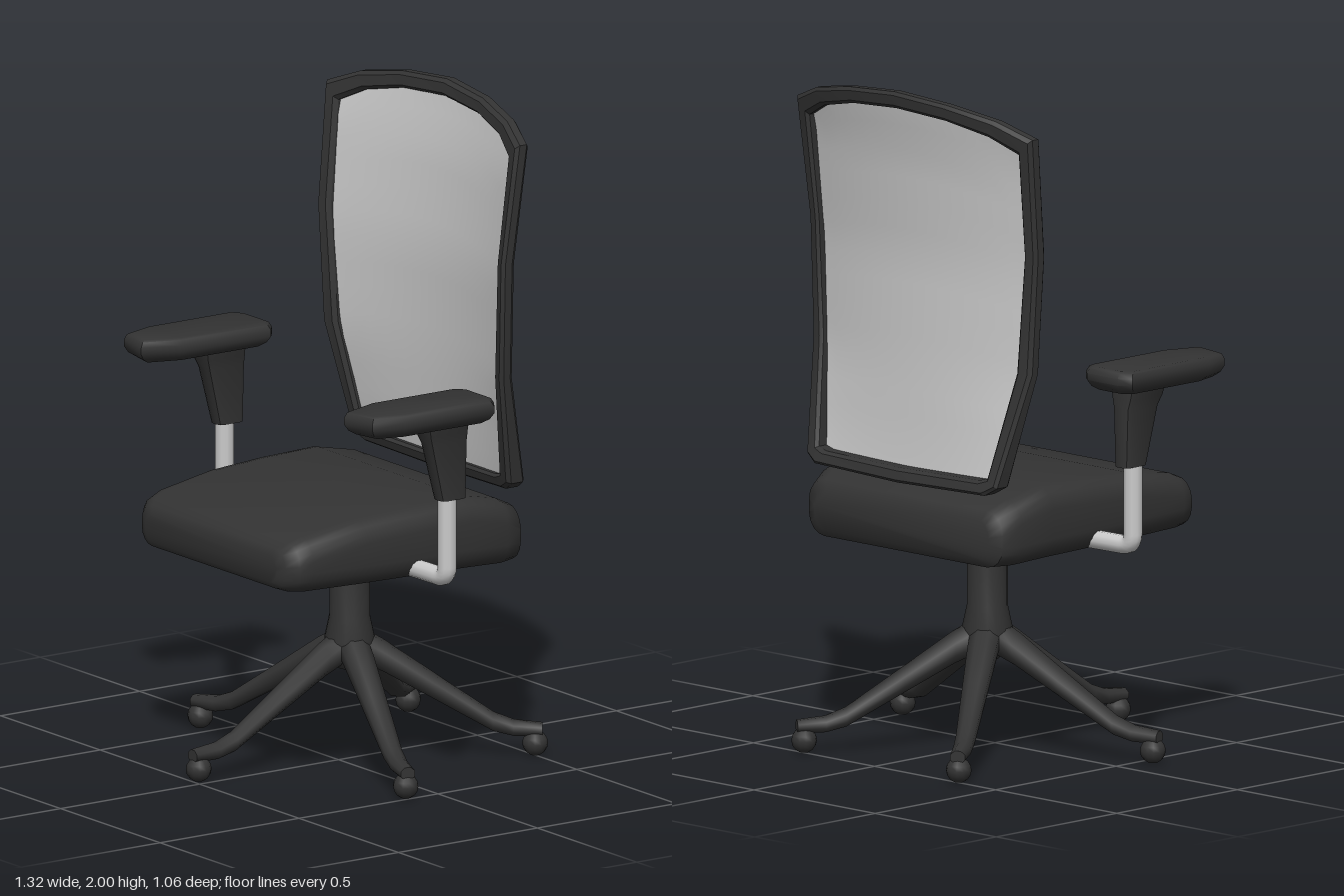
import * as THREE from 'three';
import { toCreasedNormals } from 'three/addons/utils/BufferGeometryUtils.js';

const dark = new THREE.MeshStandardMaterial({ color: 0x333333 });
const grey = new THREE.MeshStandardMaterial({ color: 0xcccccc });
const netting = new THREE.MeshStandardMaterial({ color: 0xcccccc, side: THREE.DoubleSide });

function mesh(name, geometry, material) {
  const m = new THREE.Mesh(geometry, material);
  m.name = name;
  return m;
}

// Linear lookup in a short table of [key, value] pairs
function lookup(table, k) {
  if (k <= table[0][0]) return table[0][1];
  for (let i = 1; i < table.length; i++) {
    const [a, va] = table[i - 1], [b, vb] = table[i];
    if (k <= b) return va + (vb - va) * (k - a) / (b - a);
  }
  return table[table.length - 1][1];
}

// Skin a list of rings (arrays of [x, y, z]); closed joins the last ring to the first
function loft(rings, closed = false, crease = 0.7) {
  const n = rings[0].length, count = rings.length, pos = rings.flat(2), idx = [];
  for (let i = 0; i < (closed ? count : count - 1); i++) {
    for (let j = 0; j < n; j++) {
      const a = i * n + j, b = i * n + (j + 1) % n;
      const c = ((i + 1) % count) * n + j, d = ((i + 1) % count) * n + (j + 1) % n;
      idx.push(a, b, d, a, d, c);
    }
  }
  if (!closed) {
    const e = (count - 1) * n;
    for (let j = 1; j < n - 1; j++) idx.push(0, j + 1, j, e, e + j, e + j + 1);
  }
  // Turn the faces outward if the enclosed volume is negative
  const p = (i) => new THREE.Vector3().fromArray(pos, i * 3);
  let volume = 0;
  for (let i = 0; i < idx.length; i += 3) volume += p(idx[i]).dot(p(idx[i + 1]).cross(p(idx[i + 2])));
  if (volume < 0) idx.reverse();
  const g = new THREE.BufferGeometry();
  g.setAttribute('position', new THREE.Float32BufferAttribute(pos, 3));
  g.setIndex(idx);
  return toCreasedNormals(g, crease);
}

// Rounded rectangle outline as [u, v] pairs
function roundRect(u0, u1, v0, v1, r, steps = 4) {
  const out = [];
  const corners = [[u1 - r, v1 - r], [u0 + r, v1 - r], [u0 + r, v0 + r], [u1 - r, v0 + r]];
  corners.forEach(([u, v], q) => {
    for (let s = 0; s <= steps; s++) {
      const a = (q + s / steps) * Math.PI / 2;
      out.push([u + r * Math.cos(a), v + r * Math.sin(a)]);
    }
  });
  return out;
}

// Seat cushion: sections from front to back [z, half width, top, bottom]
function makeSeat() {
  const sections = [
    [0.46, 0.33, 0.745, 0.665], [0.45, 0.36, 0.768, 0.648], [0.42, 0.395, 0.785, 0.638],
    [0.38, 0.405, 0.8, 0.635], [0.19, 0.415, 0.83, 0.632], [0, 0.422, 0.84, 0.63],
    [-0.18, 0.422, 0.845, 0.627], [-0.31, 0.42, 0.818, 0.622], [-0.37, 0.4, 0.79, 0.622],
    [-0.39, 0.36, 0.765, 0.645],
  ];
  const rings = sections.map(([z, w, top, bottom]) =>
    roundRect(-w, w, bottom, top, Math.min(0.065, (top - bottom) * 0.42)).map(([x, y]) => [x, y, z]));
  return mesh('seat', loft(rings, false, 0.8), dark);
}

// Backrest curvature: front face depth by height, bowed back in the middle
const lean = [[0.83, -0.345], [0.88, -0.332], [1.18, -0.315], [1.5, -0.31], [1.82, -0.34], [1.91, -0.362], [2, -0.375]];
const bow = [[0.84, 0.01], [1.18, 0.06], [2, 0.065]];
const depth = [[0.84, 0.065], [1.18, 0.045], [2, 0.047]];
const backZ = (x, y) => lookup(lean, y) + lookup(bow, y) * (x / 0.46) ** 2;

function makeBackrest() {
  const group = new THREE.Group();
  group.name = 'backrest';
  // Half outline of the frame: [outer x, outer y, inner x, inner y]
  const half = [
    [0, 2, 0, 1.95], [0.2, 1.985, 0.19, 1.937], [0.37, 1.955, 0.34, 1.905], [0.485, 1.91, 0.432, 1.86],
    [0.468, 1.55, 0.425, 1.55], [0.45, 1.2, 0.4, 1.2], [0.392, 0.865, 0.348, 0.888],
    [0.35, 0.84, 0.315, 0.88], [0, 0.832, 0, 0.875],
  ];
  const mirrored = half.slice(1, -1).reverse().map(([a, b, c, d]) => [-a, b, -c, d]);
  const rings = [...half, ...mirrored].map(([ox, oy, ix, iy]) => {
    const d = lookup(depth, oy);
    // [blend from outer to inner edge, distance behind the front face]
    return [[0, 0.012], [0.2, 0], [0.8, 0], [1, 0.012], [1, d - 0.01], [0.8, d], [0.2, d], [0, d - 0.01]]
      .map(([t, back]) => {
        const x = ox + (ix - ox) * t, y = oy + (iy - oy) * t;
        return [x, y, backZ(x, y) - back];
      });
  });
  group.add(mesh('backFrame', loft(rings, true, 0.5), dark));

  // Net panel: a plane bent to the frame
  const width = [[0.86, 0.345], [1.2, 0.425], [1.55, 0.447], [1.9, 0.455]];
  const net = new THREE.PlaneGeometry(2, 1, 12, 14);
  const p = net.attributes.position;
  for (let i = 0; i < p.count; i++) {
    const u = p.getX(i);
    const y = 0.858 + (p.getY(i) + 0.5) * (1.117 - 0.09 * u * u);
    const x = u * lookup(width, y);
    p.setXYZ(i, x, y, backZ(x, y) - 0.02);
  }
  net.computeVertexNormals();
  group.add(mesh('backNet', net, netting));
  group.position.x = 0.005;
  return group;
}

// Armrest on one side (+1 or -1)
function makeArmrest(side) {
  const group = new THREE.Group();
  group.name = side > 0 ? 'leftArmrest' : 'rightArmrest';
  // Pad: plan outline [x, z], rounded over top and bottom
  const plan = [[0.465, 0.23], [0.51, 0.345], [0.625, 0.325], [0.658, 0.23], [0.658, -0.09], [0.622, -0.115],
    [0.495, -0.115], [0.465, -0.09]];
  const layers = [[1.137, 0.72], [1.15, 0.9], [1.168, 1], [1.188, 1], [1.203, 0.93], [1.208, 0.84]];
  const pad = layers.map(([y, s]) => plan.map(([x, z]) =>
    [side * (0.56 + (x - 0.56) * s), y, 0.115 + (z - 0.115) * (1 - (1 - s) * 0.5)]));
  group.add(mesh('armPad', loft(pad), dark));

  // Bracket sleeve: [y, half width, back z, front z]
  const sleeve = [[0.905, 0.028, -0.045, 0.045], [1.08, 0.034, -0.045, 0.088], [1.11, 0.042, -0.043, 0.1],
    [1.16, 0.052, -0.04, 0.11]].map(([y, w, z0, z1]) =>
    roundRect(-w, w, z0, z1, 0.018, 2).map(([x, z]) => [side * 0.56 + x, y, z]));
  group.add(mesh('armSleeve', loft(sleeve), dark));

  // Bent support running under the cushion
  const path = new THREE.CurvePath();
  const v = (x, y) => new THREE.Vector3(side * x, y, 0.01);
  path.add(new THREE.LineCurve3(v(0.56, 0.93), v(0.56, 0.7)));
  path.add(new THREE.QuadraticBezierCurve3(v(0.56, 0.7), v(0.56, 0.664), v(0.52, 0.664)));
  path.add(new THREE.LineCurve3(v(0.52, 0.664), v(0.35, 0.662)));
  group.add(mesh('armSupport', new THREE.TubeGeometry(path, 40, 0.028, 10), grey));
  return group;
}

// Column and five-legged base
function makeBase() {
  const group = new THREE.Group();
  group.name = 'base';
  const profile = [[0, 0.265], [0.035, 0.27], [0.07, 0.31], [0.075, 0.36], [0.06, 0.43], [0.06, 0.65]]
    .map(([r, y]) => new THREE.Vector2(r, y));
  group.add(mesh('column', toCreasedNormals(new THREE.LatheGeometry(profile, 16), 0.7), dark));

  // Leg sections: [radius from centre, y, half width, half height]
  const sections = [[0.02, 0.345, 0.045, 0.05], [0.1, 0.305, 0.043, 0.045], [0.25, 0.212, 0.036, 0.036],
    [0.42, 0.107, 0.028, 0.027], [0.48, 0.088, 0.026, 0.023], [0.565, 0.083, 0.022, 0.019]];
  const legGeometry = loft(sections.map(([r, y, w, h]) => Array.from({ length: 8 }, (_, k) => {
    const a = (k + 0.5) * Math.PI / 4;
    return [w * 1.08 * Math.cos(a), y + h * 1.08 * Math.sin(a), r];
  })), false, 0.9);
  const casterGeometry = new THREE.SphereGeometry(0.038, 12, 8);
  const stemGeometry = new THREE.CylinderGeometry(0.014, 0.014, 0.05, 8);
  for (let i = 0; i < 5; i++) {
    const leg = new THREE.Group();
    leg.name = 'leg';
    const caster = mesh('caster', casterGeometry, dark);
    caster.position.set(0, 0.042, 0.543);
    const stem = mesh('casterStem', stemGeometry, dark);
    stem.position.set(0, 0.07, 0.543);
    leg.add(mesh('legArm', legGeometry, dark), stem, caster);
    leg.rotation.y = i * Math.PI * 2 / 5;
    group.add(leg);
  }
  group.position.set(-0.028, -0.004, -0.06);
  return group;
}

export function createModel() {
  const chair = new THREE.Group();
  chair.name = 'officeChair';
  chair.add(makeSeat(), makeBackrest(), makeArmrest(1), makeArmrest(-1), makeBase());
  return chair;
}
